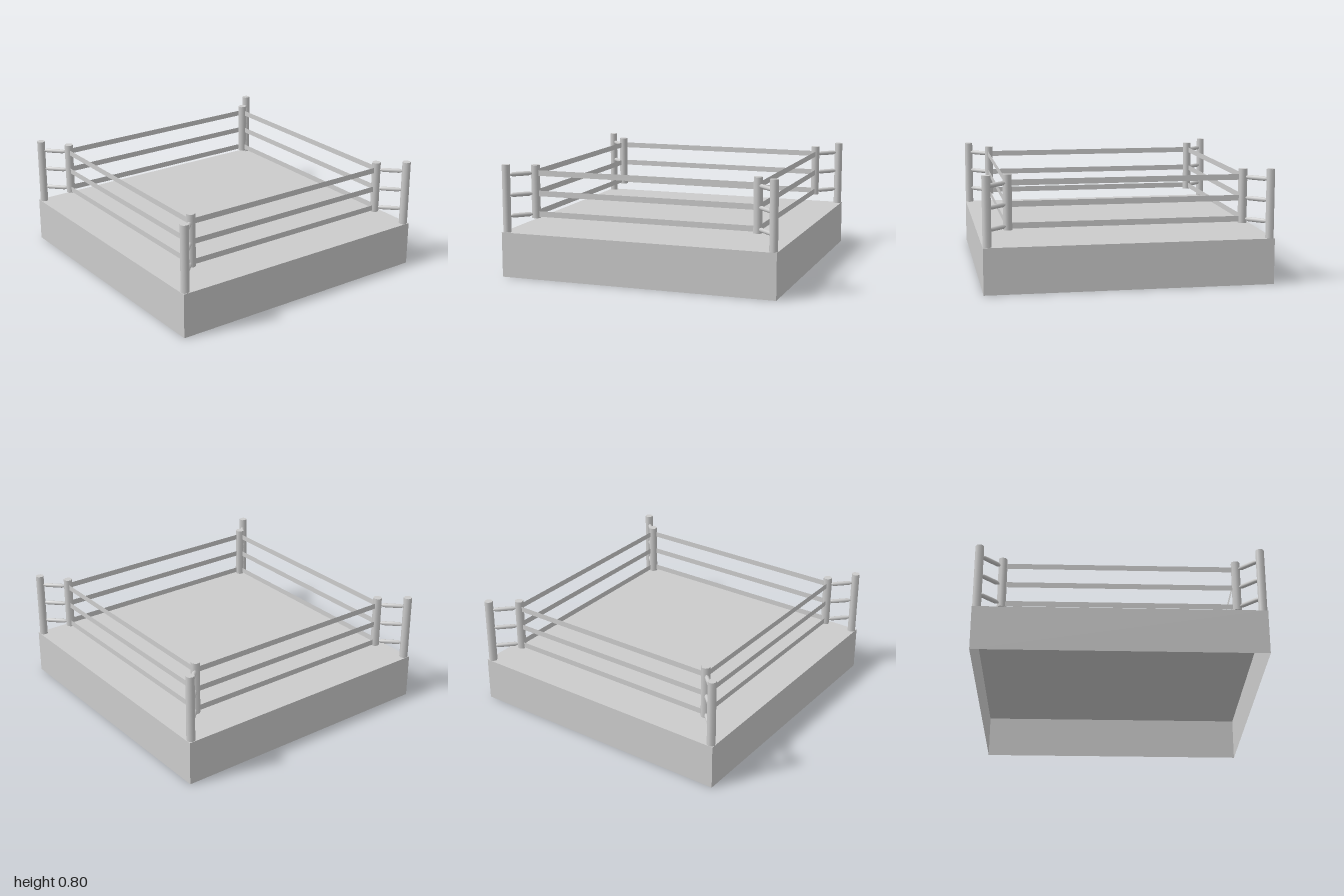
import * as THREE from 'three';

export function createModel() {
  const grey = new THREE.MeshStandardMaterial({ color: 0xcccccc, side: THREE.DoubleSide });
  grey.name = 'plain grey';
  const group = new THREE.Group();
  group.name = 'ring';

  const add = (name, geometry, x, y, z, parent = group) => {
    const mesh = new THREE.Mesh(geometry, grey);
    mesh.name = name;
    mesh.position.set(x, y, z);
    parent.add(mesh);
    return mesh;
  };

  // Platform: hollow shell, open underneath
  const shell = new THREE.BoxGeometry(2, 0.32, 2);
  const index = Array.from(shell.index.array);
  index.splice(18, 6); // drop the bottom face
  shell.setIndex(index);
  shell.clearGroups();
  add('platform', shell, 0, 0.16, 0);

  const ropeHeights = [0.434, 0.582, 0.728];
  const postGeo = new THREE.CylinderGeometry(0.03, 0.03, 0.48, 8);
  const padGeo = new THREE.CylinderGeometry(0.032, 0.032, 0.38, 7);
  const ropeGeo = new THREE.PlaneGeometry(1.62, 0.04);

  // Spindle-shaped connector between post and pad
  const half = 0.085;
  const connectorGeo = new THREE.LatheGeometry([
    new THREE.Vector2(0.006, -half),
    new THREE.Vector2(0.016, -half + 0.025),
    new THREE.Vector2(0.016, half - 0.025),
    new THREE.Vector2(0.006, half),
  ], 8);
  connectorGeo.rotateX(Math.PI / 2);

  // Four corners: outer post, inner pad and three connectors
  for (const sx of [-1, 1]) {
    for (const sz of [-1, 1]) {
      add('cornerPost', postGeo, sx * 0.97, 0.56, sz * 0.97);
      add('cornerPad', padGeo, sx * 0.817, 0.595, sz * 0.817);
      for (const y of ropeHeights) {
        const c = add('connector', connectorGeo, sx * 0.894, y, sz * 0.894);
        c.rotation.y = Math.atan2(sx, sz);
      }
    }
  }

  // Four sides, three flat ropes each
  for (let i = 0; i < 4; i++) {
    const side = new THREE.Group();
    side.name = 'ropeSide';
    side.rotation.y = i * Math.PI / 2;
    for (const y of ropeHeights) add('rope', ropeGeo, 0, y, 0.825, side);
    group.add(side);
  }

  return group;
}
